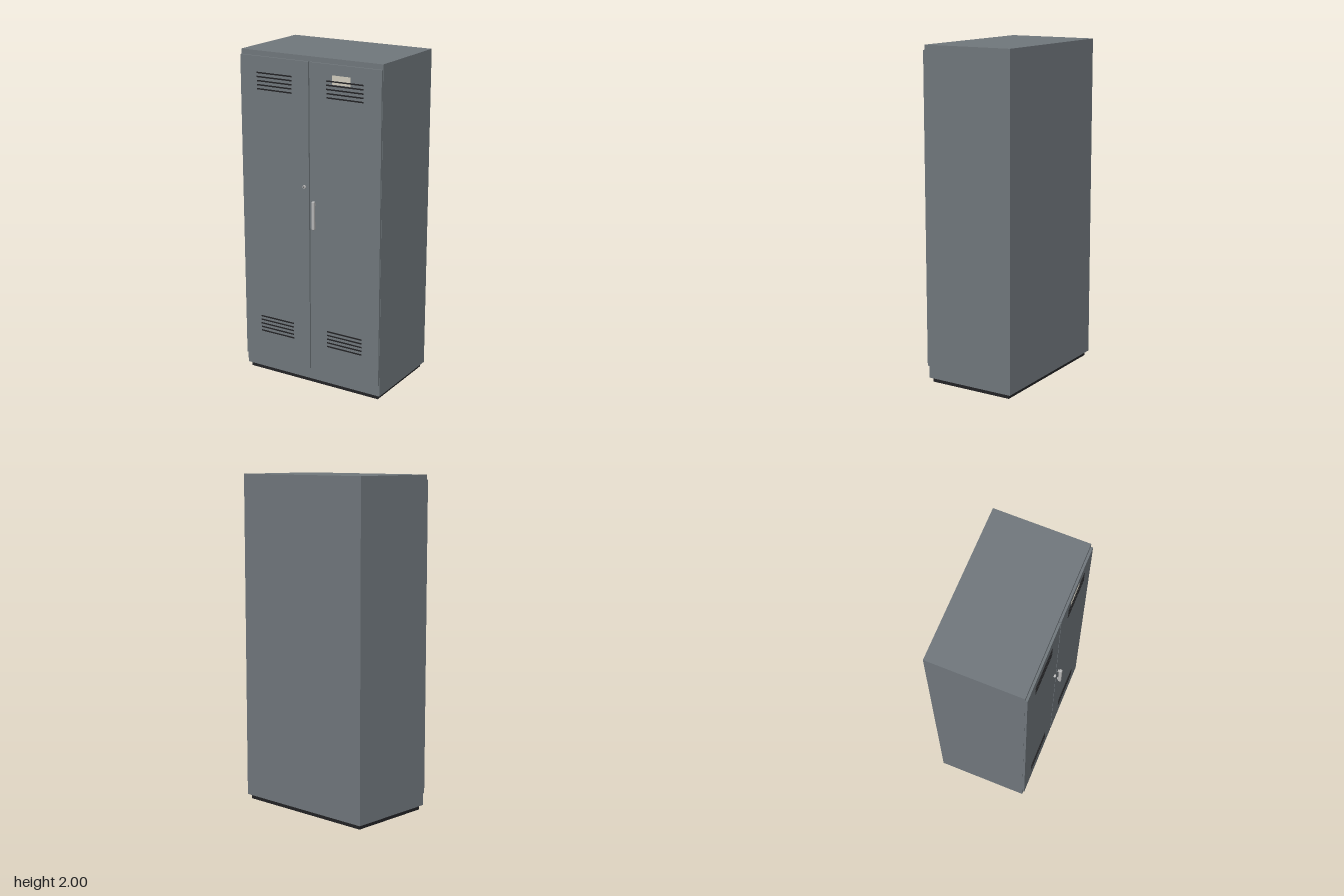
import * as THREE from 'three';
import { RoundedBoxGeometry } from 'three/addons/geometries/RoundedBoxGeometry.js';

const mat = (color) => new THREE.MeshStandardMaterial({ color });

export function createModel() {
  const model = new THREE.Group();
  model.name = 'storageCabinet';
  const steel = mat(0x6f767b), dark = mat(0x222224), metal = mat(0xb4b4b4), paper = mat(0xcfcabb);

  const add = (name, geometry, material, x, y, z, parent = model) => {
    const mesh = new THREE.Mesh(geometry, material);
    mesh.name = name;
    mesh.position.set(x, y, z);
    parent.add(mesh);
    return mesh;
  };
  // Box given by its minimum and maximum corners
  const span = (name, material, [x0, y0, z0], [x1, y1, z1], parent) =>
    add(name, new THREE.BoxGeometry(x1 - x0, y1 - y0, z1 - z0), material,
      (x0 + x1) / 2, (y0 + y1) / 2, (z0 + z1) / 2, parent);

  // Carcass on a recessed plinth
  span('plinth', dark, [-0.452, 0, -0.285], [0.452, 0.03, 0.247]);
  span('carcass', steel, [-0.47, 0.028, -0.303], [0.47, 2, 0.262]);

  // Two doors, each with an upper and a lower bank of vent slots
  for (const side of [-1, 1]) {
    const door = new THREE.Group();
    door.name = side > 0 ? 'leftDoor' : 'rightDoor';
    model.add(door);
    add('doorPanel', new THREE.BoxGeometry(0.465, 1.87, 0.013), steel, side * 0.236, 1.035, 0.2685, door);
    for (const base of [0.273, 1.78]) {
      for (let i = 0; i < 5; i++) {
        add('ventSlot', new THREE.BoxGeometry(0.237, 0.008, 0.004), dark,
          side * 0.2355, base + i * 0.0237, 0.2756, door);
      }
    }
  }

  // Name card holder, slightly behind the face of the slots
  span('labelPlate', paper, [0.154, 1.858, 0.274], [0.273, 1.91, 0.2765]);

  // Pull handle on two short posts
  add('handleGrip', new RoundedBoxGeometry(0.018, 0.172, 0.019, 3, 0.005), metal, 0.036, 1.08, 0.2915);
  for (const y of [1.015, 1.145]) {
    add('handlePost', new THREE.BoxGeometry(0.01, 0.014, 0.012), metal, 0.036, y, 0.279);
  }

  // Cylinder lock with a keyhole
  const lock = new THREE.Group();
  lock.name = 'lock';
  lock.position.set(-0.033, 1.24, 0);
  model.add(lock);
  add('lockCollar', new THREE.CylinderGeometry(0.01, 0.01, 0.008, 24), metal, 0, 0, 0.279, lock).rotation.x = Math.PI / 2;
  add('lockBarrel', new THREE.CylinderGeometry(0.008, 0.008, 0.004, 24), metal, 0, 0, 0.284, lock).rotation.x = Math.PI / 2;
  add('keyhole', new THREE.BoxGeometry(0.002, 0.007, 0.001), dark, 0, 0, 0.286, lock);

  return model;
}
